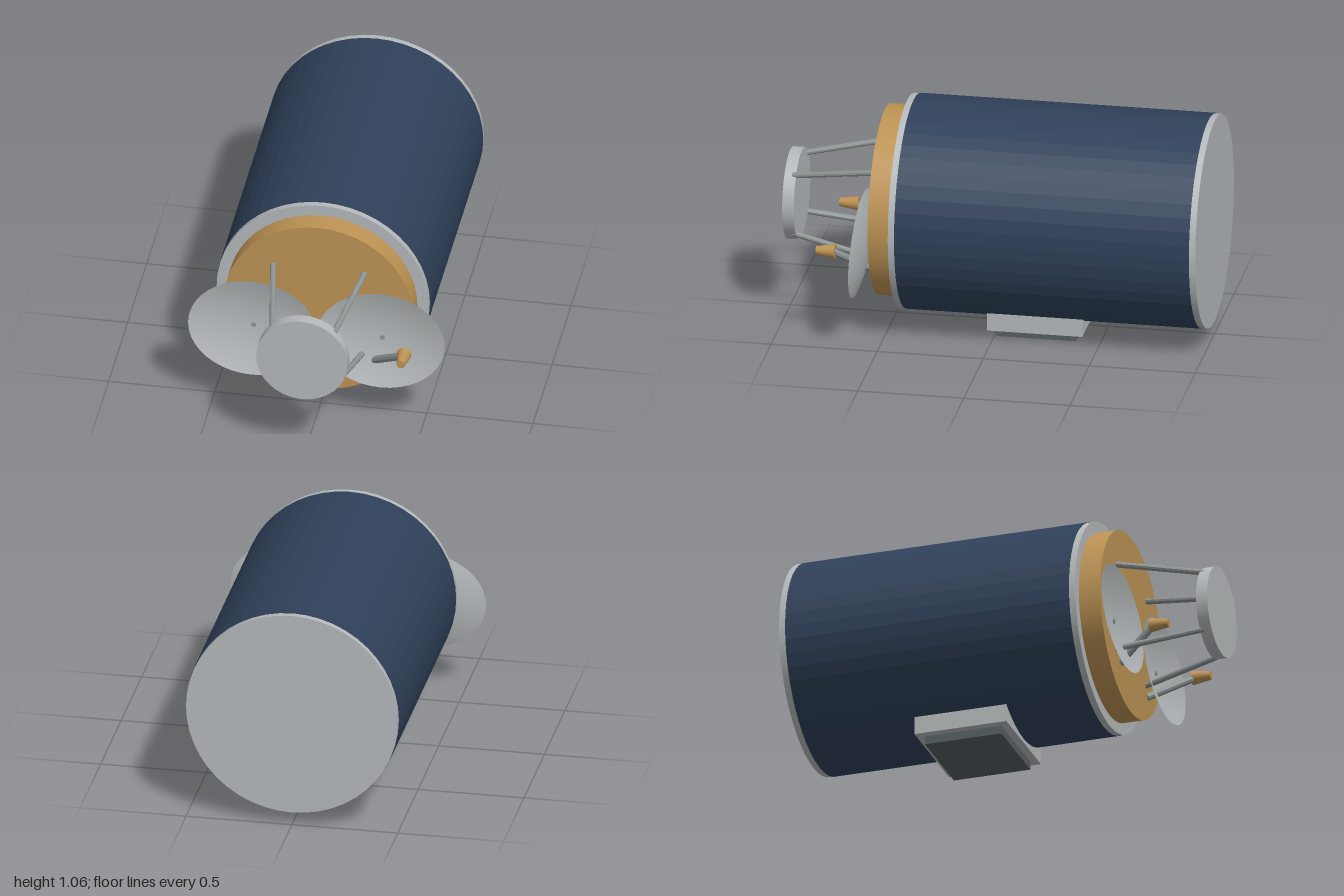
import * as THREE from 'three';

const mat = (name, color, side = THREE.FrontSide, flatShading = false) => {
  const m = new THREE.MeshStandardMaterial({ color, side, flatShading });
  m.name = name;
  return m;
};

export function createModel() {
  const group = new THREE.Group();
  group.name = 'satellite';
  const navy = mat('navy panels', 0x2f4059, THREE.FrontSide, true);
  const silver = mat('silver', 0xb4b9bb, THREE.DoubleSide);
  const gold = mat('gold foil', 0xbd9354);
  const steel = mat('steel rods', 0x8d9393, THREE.FrontSide, true);
  const dark = mat('dark adapter', 0x565e62);
  const axisY = 0.562;

  const add = (name, geometry, material, x = 0, y = 0, z = 0) => {
    const mesh = new THREE.Mesh(geometry, material);
    mesh.name = name;
    mesh.position.set(x, y, z);
    group.add(mesh);
    return mesh;
  };
  // Cylinder along z from z0 to z1, with a radius at each end
  const drum = (name, material, x, y, z0, z1, r0, r1 = r0, sides = 48) =>
    add(name, new THREE.CylinderGeometry(r1, r0, z1 - z0, sides).rotateX(Math.PI / 2), material, x, y, (z0 + z1) / 2);
  // Round rod between two points
  const rod = (name, a, b, r) => {
    const p = new THREE.Vector3(...a), q = new THREE.Vector3(...b);
    const d = q.clone().sub(p);
    const mesh = add(name, new THREE.CylinderGeometry(r, r, d.length(), 10), steel);
    mesh.position.copy(p).add(q).multiplyScalar(0.5);
    mesh.quaternion.setFromUnitVectors(new THREE.Vector3(0, 1, 0), d.normalize());
  };

  // Main body with end rings and the front deck
  drum('body', navy, 0, axisY, -0.97, 0.42, 0.502);
  drum('rearRing', silver, 0, axisY, -1, -0.97, 0.5);
  drum('frontRing', silver, 0, axisY, 0.42, 0.45, 0.5);
  drum('frontDeck', gold, 0, axisY, 0.45, 0.555, 0.446);

  // Front plate held on four converging struts
  drum('frontPlate', silver, 0, axisY, 0.945, 1, 0.215);
  for (const sx of [-1, 1]) {
    for (const sy of [-1, 1]) {
      rod('plateStrut', [sx * 0.217, axisY + sy * 0.217, 0.545], [sx * 0.145, axisY + sy * 0.145, 0.96], 0.014);
    }
  }

  // Two shallow oval dishes, tilted slightly upward
  const profile = [];
  for (let i = 0; i <= 10; i++) profile.push(new THREE.Vector2(i / 10, 0.045 * (i / 10) ** 2));
  for (const side of [-1, 1]) {
    const bowl = new THREE.LatheGeometry(profile, 40).rotateX(Math.PI / 2).scale(0.302, 0.25, 1);
    add('dish', bowl, silver, side * 0.303, 0.452, 0.571).rotation.x = -0.06;
    drum('dishMount', steel, side * 0.303, 0.447, 0.55, 0.577, 0.012, 0.012, 10);
  }

  // Feed horns on slanted arms
  const feeds = [
    { base: [0.235, 0.295, 0.55], tip: [0.43, 0.458, 0.725] },
    { base: [-0.152, 0.3, 0.55], tip: [-0.18, 0.458, 0.725] },
  ];
  for (const { base, tip } of feeds) {
    rod('feedArm', base, tip, 0.018);
    drum('feedHorn', gold, tip[0], tip[1], 0.71, 0.8, 0.034, 0.02, 16);
  }

  // Stepped block under the body
  add('baseBlock', new THREE.BoxGeometry(0.5, 0.1, 0.45), silver, 0, 0.09, -0.197);
  add('baseAdapter', new THREE.BoxGeometry(0.42, 0.042, 0.375), dark, 0, 0.021, -0.197);

  return group;
}
